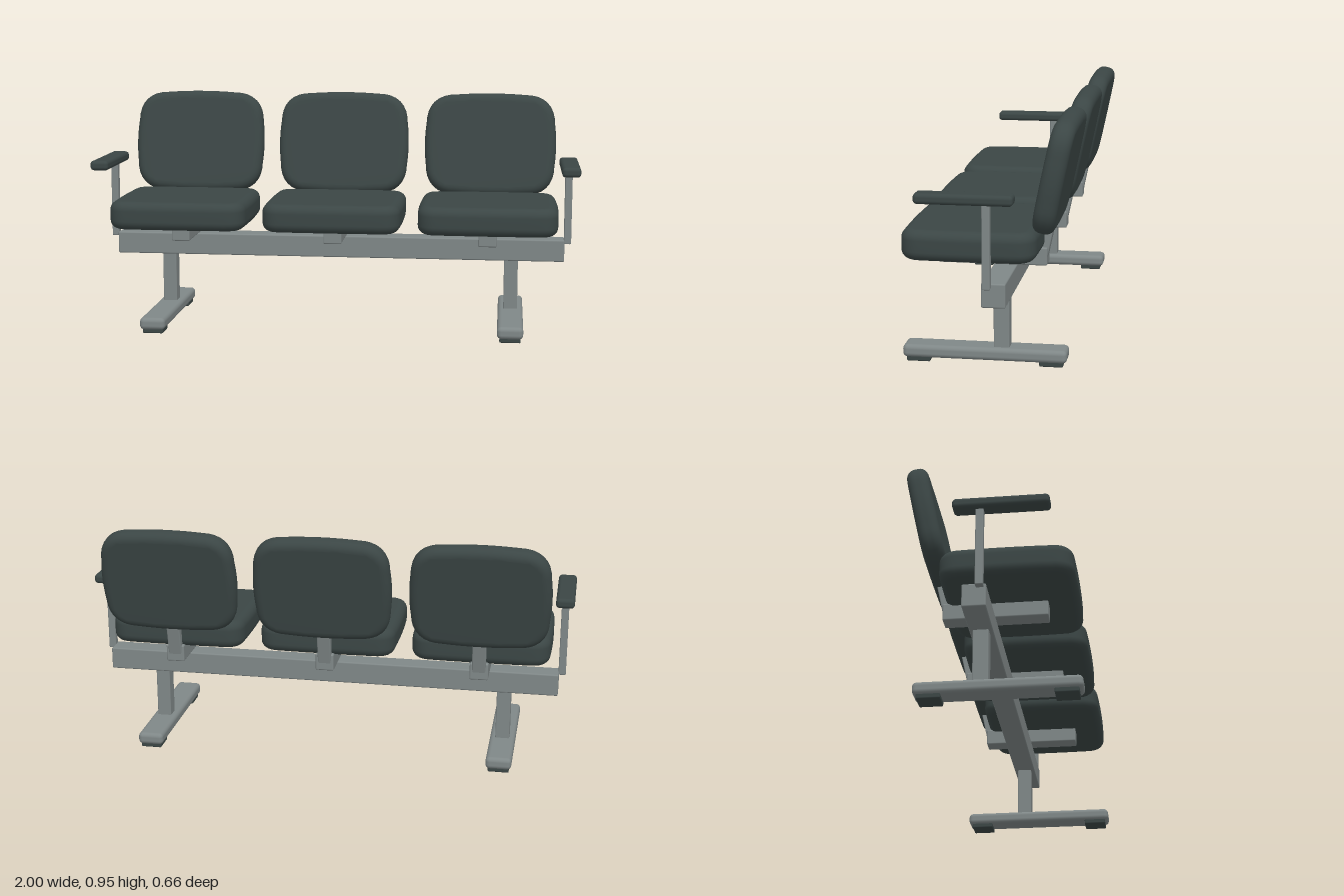
import * as THREE from 'three';
import { mergeVertices } from 'three/addons/utils/BufferGeometryUtils.js';
import { RoundedBoxGeometry } from 'three/addons/geometries/RoundedBoxGeometry.js';

const upholstery = new THREE.MeshStandardMaterial({ color: 0x3b4645 });
upholstery.name = 'dark upholstery';
const metal = new THREE.MeshStandardMaterial({ color: 0x7f8787 });
metal.name = 'grey metal';

// Rounded bar given its size and centre
function bar(parent, name, size, pos, radius, material = metal) {
  const mesh = new THREE.Mesh(new RoundedBoxGeometry(...size, 3, radius), material);
  mesh.name = name;
  mesh.position.set(...pos);
  parent.add(mesh);
  return mesh;
}

// Padded slab in the XY plane, centred, with slightly bowed sides and soft edges
function cushionGeometry(width, height, depth, corner, bevel, bow) {
  const x = width / 2 - bevel - bow, y = height / 2 - bevel - bow, r = corner - bevel;
  const s = new THREE.Shape();
  s.moveTo(-x + r, -y);
  s.quadraticCurveTo(0, -y - 2 * bow, x - r, -y);
  s.quadraticCurveTo(x, -y, x, -y + r);
  s.quadraticCurveTo(x + 2 * bow, 0, x, y - r);
  s.quadraticCurveTo(x, y, x - r, y);
  s.quadraticCurveTo(0, y + 2 * bow, -x + r, y);
  s.quadraticCurveTo(-x, y, -x, y - r);
  s.quadraticCurveTo(-x - 2 * bow, 0, -x, -y + r);
  s.quadraticCurveTo(-x, -y, -x + r, -y);
  const geo = new THREE.ExtrudeGeometry(s, {
    depth: depth - 2 * bevel, bevelEnabled: true, bevelSize: bevel,
    bevelThickness: bevel, bevelSegments: 6, curveSegments: 8,
  });
  geo.translate(0, 0, bevel - depth / 2);
  geo.deleteAttribute('uv');
  geo.deleteAttribute('normal');
  const smooth = mergeVertices(geo, 1e-5);
  smooth.computeVertexNormals();
  return smooth;
}

export function createModel() {
  const model = new THREE.Group();
  model.name = 'beamSeating';

  // Long beam carrying all seats
  bar(model, 'beam', [1.9, 0.092, 0.09], [0, 0.319, -0.045], 0.006);

  // Three seat units
  const seatGeo = cushionGeometry(0.57, 0.513, 0.115, 0.08, 0.036, 0.004);
  seatGeo.rotateX(-Math.PI / 2);
  const backGeo = cushionGeometry(0.562, 0.442, 0.084, 0.125, 0.034, 0.006);
  const tilt = -0.205;
  for (const x of [-0.633, 0, 0.633]) {
    const unit = new THREE.Group();
    unit.name = 'seatUnit';
    unit.position.x = x;
    const seat = new THREE.Mesh(seatGeo, upholstery);
    seat.name = 'seatCushion';
    seat.position.set(0, 0.483, 0.062);
    const back = new THREE.Mesh(backGeo, upholstery);
    back.name = 'backCushion';
    back.position.set(0, 0.733, -0.249);
    back.rotation.x = tilt;
    unit.add(seat, back);
    bar(unit, 'seatSupport', [0.075, 0.07, 0.405], [0, 0.401, -0.003], 0.006);
    const bracket = bar(unit, 'backBracket', [0.055, 0.2, 0.04], [0, 0.47, -0.2], 0.005);
    bracket.rotation.x = tilt;
    model.add(unit);
  }

  // Mirrored legs and armrests
  for (const side of [-1, 1]) {
    const leg = new THREE.Group();
    leg.name = 'leg';
    leg.position.x = side * 0.73;
    bar(leg, 'legPost', [0.058, 0.23, 0.06], [0, 0.17, -0.045], 0.004);
    bar(leg, 'footBar', [0.105, 0.05, 0.628], [0, 0.041, 0.019], 0.018);
    for (const z of [0.273, -0.235]) {
      bar(leg, 'footPad', [0.085, 0.022, 0.09], [0, 0.011, z], 0.005, upholstery);
    }
    const arm = new THREE.Group();
    arm.name = 'armrest';
    arm.position.x = side * 0.9625;
    bar(arm, 'armPost', [0.03, 0.325, 0.03], [0, 0.51, -0.023], 0.004);
    bar(arm, 'armPad', [0.075, 0.04, 0.362], [0, 0.68, 0.057], 0.015, upholstery);
    model.add(leg, arm);
  }
  return model;
}
